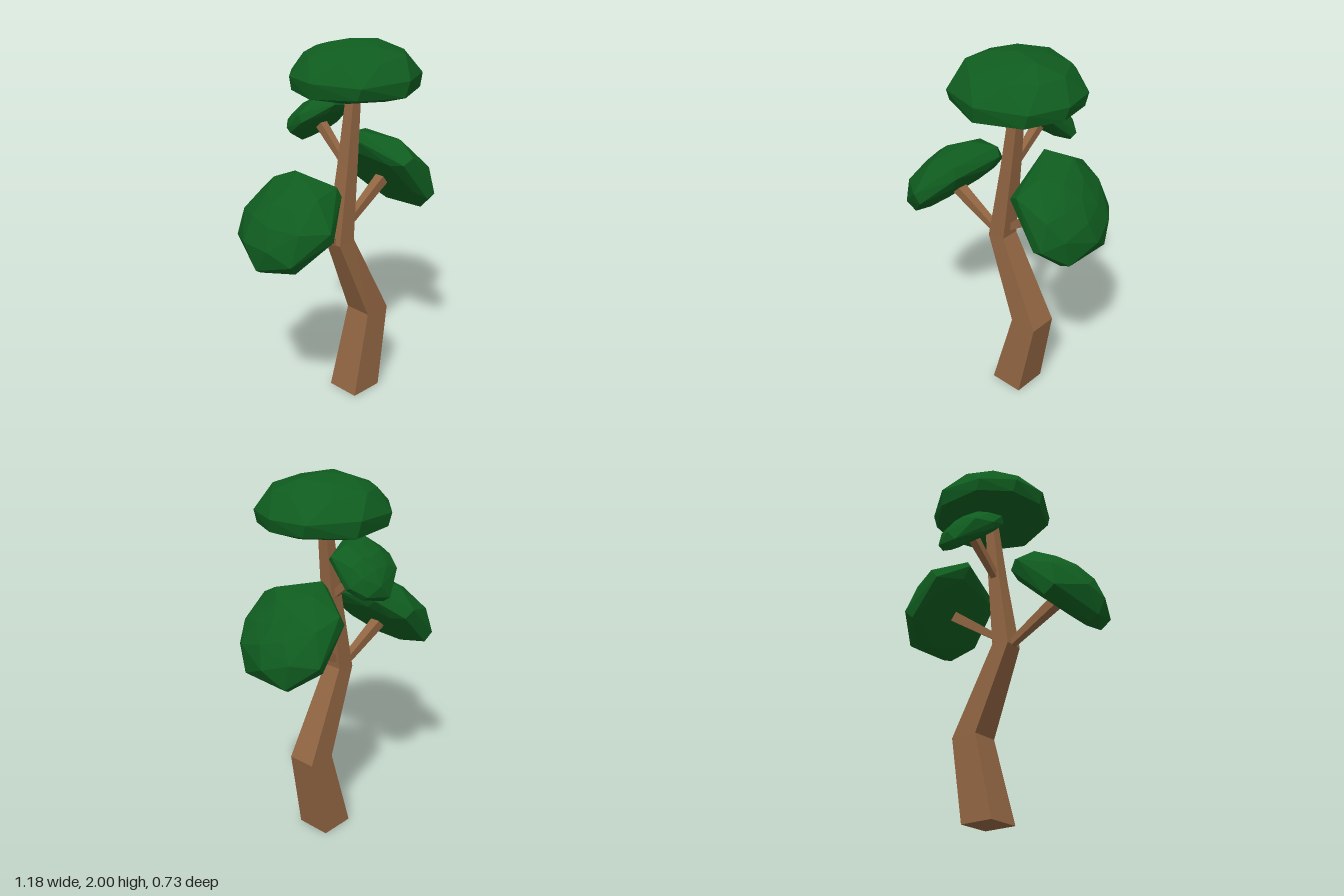
import * as THREE from 'three';
import { ConvexGeometry } from 'three/addons/geometries/ConvexGeometry.js';

const bark = new THREE.MeshStandardMaterial({ color: 0x916542, flatShading: true });
const leaves = new THREE.MeshStandardMaterial({ color: 0x0f5c1f, flatShading: true });
const UP = new THREE.Vector3(0, 1, 0);

function addMesh(group, name, geometry, material) {
  const mesh = new THREE.Mesh(geometry, material);
  mesh.name = name;
  group.add(mesh);
  return mesh;
}

// Square cross-sections [x, y, z, half width, tilt] joined into a bent trunk
function trunkGeometry(sections) {
  const corners = [[-1, 1], [1, 1], [1, -1], [-1, -1]];
  const pos = [], index = [];
  for (const [x, y, z, h, tilt] of sections)
    for (const [sx, sz] of corners) pos.push(x + sx * h, y + sx * tilt, z + sz * h);
  for (let s = 0; s < sections.length - 1; s++) {
    for (let i = 0; i < 4; i++) {
      const a = s * 4 + i, b = s * 4 + (i + 1) % 4;
      index.push(a, b, b + 4, a, b + 4, a + 4);
    }
  }
  const t = (sections.length - 1) * 4;
  index.push(0, 2, 1, 0, 3, 2, t, t + 1, t + 2, t, t + 2, t + 3);
  const indexed = new THREE.BufferGeometry();
  indexed.setAttribute('position', new THREE.Float32BufferAttribute(pos, 3));
  indexed.setIndex(index);
  const geometry = indexed.toNonIndexed();
  geometry.computeVertexNormals();
  return geometry;
}

// Four-sided branch that widens towards its tip
function addBranch(group, name, from, to, tipRadius) {
  const a = new THREE.Vector3(...from), b = new THREE.Vector3(...to);
  const dir = b.clone().sub(a);
  const geometry = new THREE.CylinderGeometry(tipRadius, 0.024, dir.length(), 4).rotateY(Math.PI / 4);
  const mesh = addMesh(group, name, geometry, bark);
  mesh.position.copy(a).add(b).multiplyScalar(0.5);
  mesh.quaternion.setFromUnitVectors(UP, dir.normalize());
}

// Faceted dome with a flat underside: hull of rings with uneven corner angles
function addCanopy(group, name, centre, axis, radius, height, rimAngles) {
  const points = [new THREE.Vector3(0.02 * radius, height, 0)];
  const ring = (r, y, angles, shift) => angles.forEach((deg, i) => {
    const a = THREE.MathUtils.degToRad(deg + shift);
    const wobble = y > 0 ? 0.025 * Math.sin(i * 2.4 + y * 9) : 0;
    points.push(new THREE.Vector3(
      Math.cos(a) * r * radius, (y + wobble) * height, Math.sin(a) * r * radius));
  });
  ring(0.72, 0, rimAngles, 14);
  ring(0.96, 0.1, rimAngles, 3);
  ring(1, 0.37, rimAngles, 0);
  ring(0.76, 0.74, rimAngles, 22);
  ring(0.4, 0.93, [0, 70, 145, 215, 290], 12);
  const mesh = addMesh(group, name, new ConvexGeometry(points), leaves);
  mesh.position.set(...centre);
  mesh.quaternion.setFromUnitVectors(UP, new THREE.Vector3(...axis).normalize());
}

export function createModel() {
  const tree = new THREE.Group();
  tree.name = 'tree';

  addMesh(tree, 'trunk', trunkGeometry([
    [0.116, 0, 0.02, 0.096, 0],
    [0.22, 0.467, 0.018, 0.078, 0],
    [0.001, 0.94, 0.017, 0.052, 0.008],
    [0.057, 1.36, 0.016, 0.038, 0.01],
    [0.105, 1.77, 0.015, 0.026, 0],
  ]), bark);

  addBranch(tree, 'rightBranch', [0, 0.92, 0.015], [-0.34, 1.105, 0.015], 0.041);
  addBranch(tree, 'leftBranch', [0.01, 0.97, 0], [0.37, 1.225, 0], 0.041);
  addBranch(tree, 'backBranch', [0.055, 1.35, 0.01], [0.065, 1.56, -0.22], 0.034);

  addCanopy(tree, 'topCanopy', [0.105, 1.73, 0.02], [0, 1, 0], 0.343, 0.27,
    [5, 41, 85, 131, 175, 208, 243, 286, 331]);
  addCanopy(tree, 'rightCanopy', [-0.307, 1.1, 0.015], [-0.69, 0.72, 0], 0.3, 0.235,
    [35, 88, 138, 180, 236, 293, 330]);
  addCanopy(tree, 'leftCanopy', [0.333, 1.21, -0.005], [0.79, 0.61, 0], 0.302, 0.21,
    [29, 63, 121, 191, 239, 292, 334]);
  addCanopy(tree, 'backCanopy', [0.065, 1.527, -0.186], [0, 0.75, -0.67], 0.194, 0.138,
    [34, 96, 158, 193, 265, 307, 336]);
  return tree;
}
